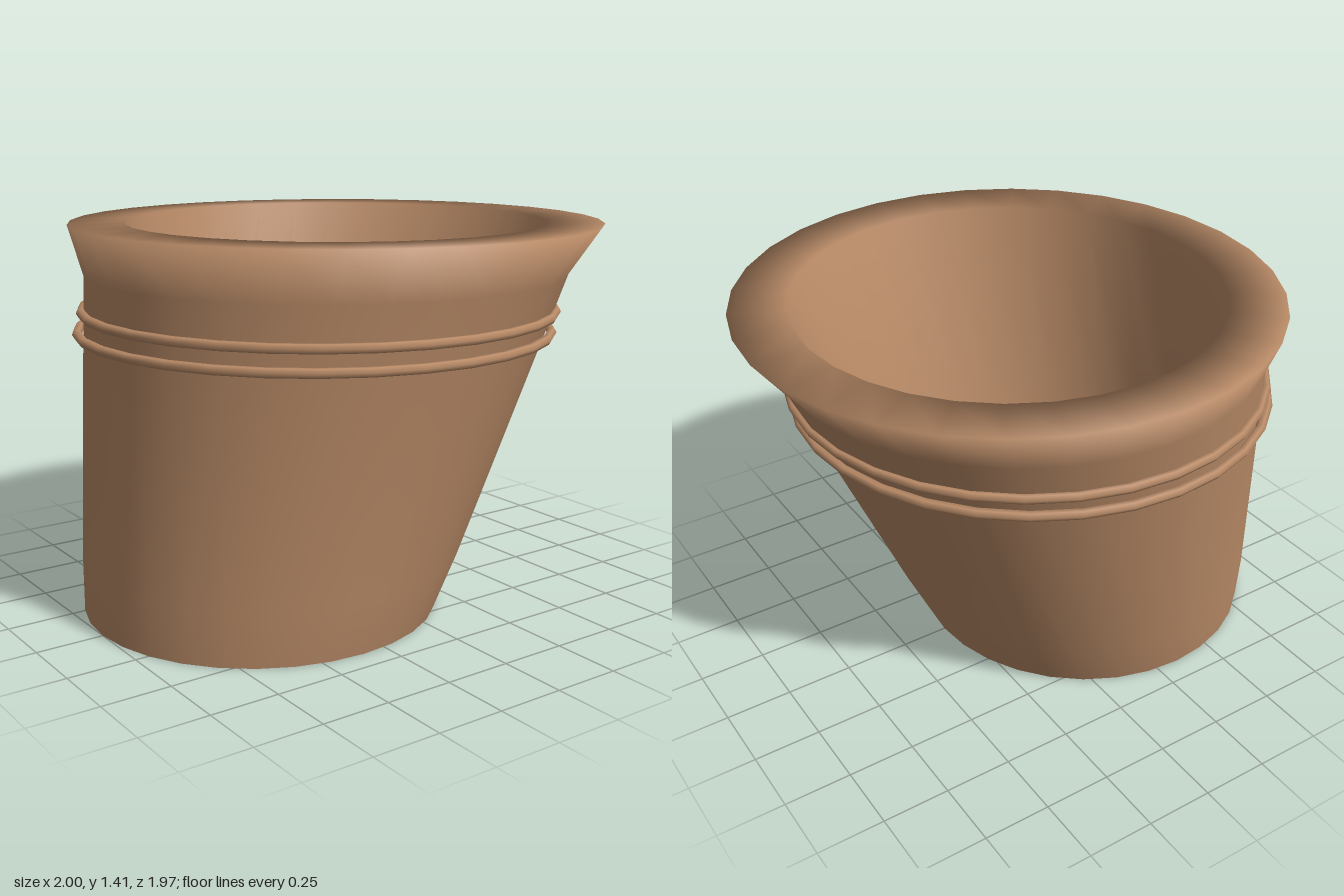
import * as THREE from 'three';
import { mergeVertices } from 'three/addons/utils/BufferGeometryUtils.js';

const SIDES = 32;
const clay = new THREE.MeshStandardMaterial({ name: 'terracotta', color: 0xb98b67 });

// The whole pot leans: every level slides along x in proportion to its height.
const lean = (y) => -0.34 + 0.25 * y;

// Revolve a profile, lean it, and weld it so the shading is smooth all round.
function leaningLathe(profile) {
  const geo = new THREE.LatheGeometry(profile.map(([r, y]) => new THREE.Vector2(r, y)), SIDES);
  geo.deleteAttribute('uv');
  geo.deleteAttribute('normal');
  const pos = geo.attributes.position;
  for (let i = 0; i < pos.count; i++) pos.setX(i, pos.getX(i) + lean(pos.getY(i)));
  const welded = mergeVertices(geo, 1e-4);
  welded.computeVertexNormals();
  return welded;
}

export function createModel() {
  const model = new THREE.Group();
  model.name = 'leaningPot';

  const add = (name, geo) => {
    const mesh = new THREE.Mesh(geo, clay);
    mesh.name = name;
    model.add(mesh);
    return mesh;
  };

  // Outer wall, flared rim, flat lip and inner wall
  add('potWall', leaningLathe([
    [0.66, 0], [0.705, 0.2], [0.893, 1.23], [0.985, 1.41], [0.78, 1.41], [0.67, 0.3],
  ]));

  // Flat discs: underside and inner floor
  const disc = (name, radius, y, tilt) => {
    const mesh = add(name, new THREE.CircleGeometry(radius, SIDES));
    mesh.rotation.x = tilt;
    mesh.position.set(lean(y), y, 0);
  };
  disc('underside', 0.66, 0, Math.PI / 2);
  disc('innerFloor', 0.67, 0.3, -Math.PI / 2);

  // Two thin hoops below the rim
  [1.02, 1.095].forEach((y, i) => {
    const hoop = add(i ? 'upperHoop' : 'lowerHoop', new THREE.TorusGeometry(0.877, 0.018, 6, SIDES));
    hoop.rotation.x = Math.PI / 2;
    hoop.position.set(lean(y), y, 0);
  });

  return model;
}
